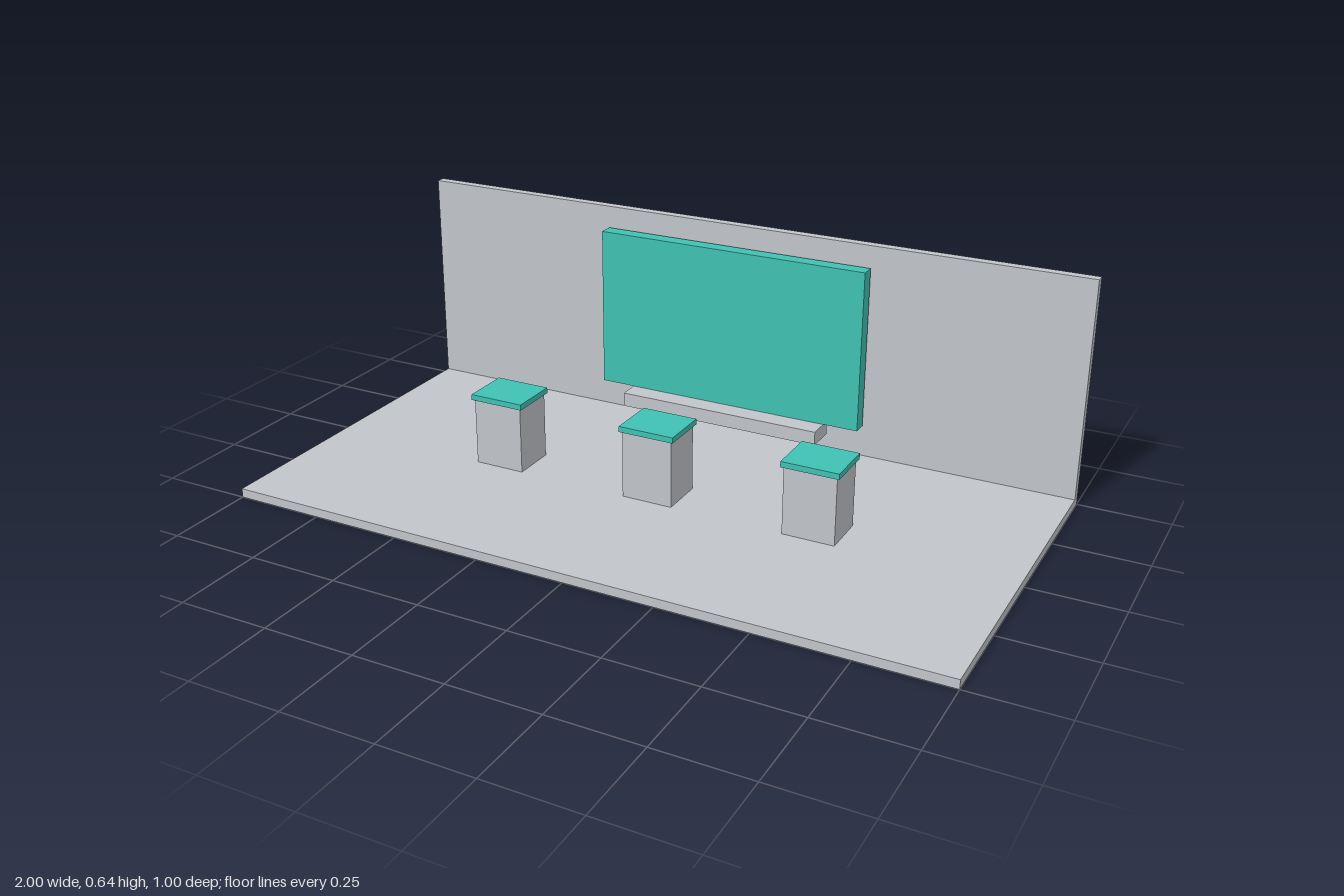
import * as THREE from 'three';

export function createModel() {
  const group = new THREE.Group();
  const grey = new THREE.MeshStandardMaterial({ color: 0xc1c4c9 });
  grey.name = 'light grey';
  const teal = new THREE.MeshStandardMaterial({ color: 0x40c1b3 });
  teal.name = 'teal';

  // Box given by its [min, max] extents on each axis
  const box = (name, material, [x0, x1], [y0, y1], [z0, z1], parent = group) => {
    const mesh = new THREE.Mesh(new THREE.BoxGeometry(x1 - x0, y1 - y0, z1 - z0), material);
    mesh.position.set((x0 + x1) / 2, (y0 + y1) / 2, (z0 + z1) / 2);
    mesh.name = name;
    parent.add(mesh);
    return mesh;
  };

  // Room shell
  box('floor', grey, [-1, 1], [0, 0.025], [-0.5, 0.5]);
  box('backWall', grey, [-1, 1], [0.025, 0.64], [-0.5, -0.473]);

  // Display panel with the ledge beneath it
  box('displayPanel', teal, [-0.4, 0.4], [0.12, 0.58], [-0.462, -0.42]);
  box('ledge', grey, [-0.3, 0.3], [0.08, 0.12], [-0.448, -0.36]);

  // Three pedestals with overhanging caps
  for (const x of [-0.46, 0, 0.46]) {
    const pedestal = new THREE.Group();
    pedestal.name = 'pedestal';
    pedestal.position.x = x;
    box('pedestalBody', grey, [-0.072, 0.072], [0.025, 0.213], [-0.063, 0.063], pedestal);
    box('pedestalCap', teal, [-0.079, 0.079], [0.213, 0.229], [-0.069, 0.069], pedestal);
    group.add(pedestal);
  }

  return group;
}
